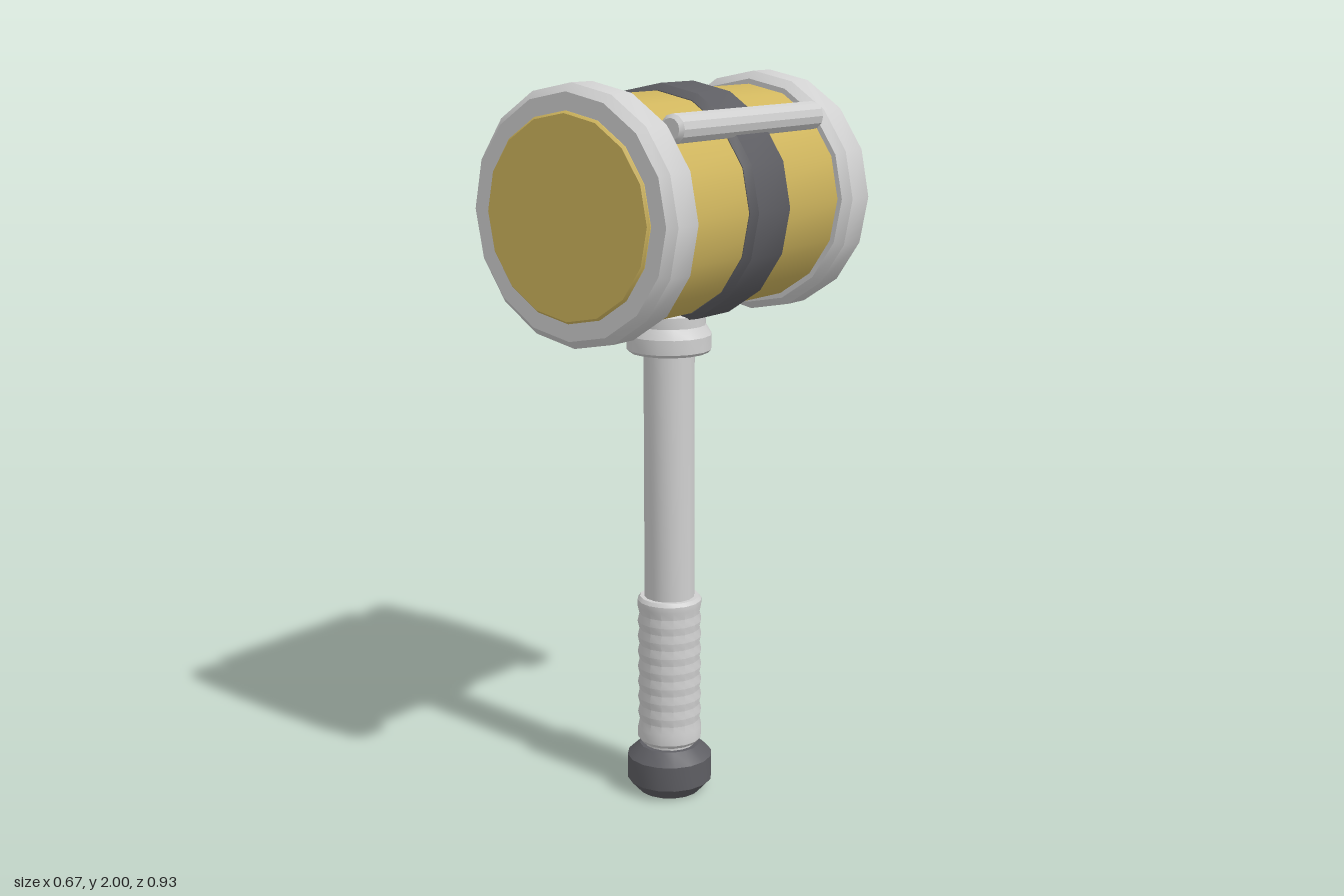
import * as THREE from 'three';
import { toCreasedNormals } from 'three/addons/utils/BufferGeometryUtils.js';

const HEAD_Y = 1.668;   // height of the head's axis
const HANDLE_Z = 0.043; // the handle sits slightly forward of centre

export function createModel() {
  const group = new THREE.Group();
  group.name = 'hammer';

  const material = (name, color) => {
    const m = new THREE.MeshStandardMaterial({ color });
    m.name = name;
    return m;
  };
  const gold = material('gold', 0xd0b65e);
  const steel = material('steel', 0xd0d0d0);
  const dark = material('dark grey', 0x5e5e63);

  // Turned solid from [radius, height] pairs, listed bottom to top
  const turned = (profile, sides = 16) => toCreasedNormals(
    new THREE.LatheGeometry(profile.map(([r, y]) => new THREE.Vector2(r, y)), sides), 0.5);

  // Closed cylinder with chamfered ends, from height a to height b
  const chamfered = (r, a, b, c, sides) => turned(
    [[0, a], [r - c, a], [r, a + c], [r, b - c], [r - c, b], [0, b]], sides);

  const add = (name, geometry, mat, x, y, z) => {
    const mesh = new THREE.Mesh(geometry, mat);
    mesh.name = name;
    mesh.position.set(x, y, z);
    group.add(mesh);
  };
  // Head parts lie along z
  const addHead = (name, geometry, mat, x = 0, y = HEAD_Y) =>
    add(name, geometry.rotateX(Math.PI / 2), mat, x, y, 0);
  const addHandle = (name, geometry, mat) => add(name, geometry, mat, 0, 0, HANDLE_Z);

  // Head: barrel, middle band, end rims and striking faces
  addHead('barrel', turned([[0, -0.4], [0.298, -0.4], [0.298, 0.4], [0, 0.4]]), gold);
  addHead('middleBand', chamfered(0.317, -0.08, 0.094, 0.017), dark);
  addHead('frontRim', chamfered(0.333, 0.333, 0.455, 0.021), steel);
  addHead('backRim', chamfered(0.333, -0.44, -0.318, 0.021), steel);
  addHead('frontFace', chamfered(0.266, 0.42, 0.464, 0.006), gold);
  addHead('backFace', chamfered(0.266, -0.45, -0.41, 0.006), gold);
  addHead('backDisc', chamfered(0.193, -0.466, -0.44, 0.005), gold);

  // Pair of rods along the upper sides of the head
  for (const side of [-1, 1]) {
    addHead(side > 0 ? 'leftRod' : 'rightRod',
      chamfered(0.038, -0.31, 0.322, 0.01, 12), steel, side * 0.221, 1.89);
  }

  // Handle: pommel, neck, shaft and collar
  addHandle('pommel', turned([[0, 0], [0.088, 0], [0.12, 0.035], [0.12, 0.105],
    [0.085, 0.138], [0, 0.138]]), dark);
  addHandle('neck', turned([[0, 0.13], [0.072, 0.13], [0.072, 0.17], [0, 0.17]]), steel);
  addHandle('shaft', turned([[0, 0.55], [0.07, 0.55], [0.07, 1.35], [0, 1.35]]), steel);
  addHandle('collar', turned([[0, 1.27], [0.108, 1.27], [0.116, 1.278], [0.116, 1.318],
    [0.1, 1.345], [0.1, 1.375], [0.085, 1.388], [0, 1.388]]), steel);

  // Rippled grip
  const grip = [[0, 0.148], [0.082, 0.148], [0.09, 0.158], [0.09, 0.19]];
  const ripples = 8, pitch = 0.36 / ripples;
  for (let i = 0; i < ripples; i++) {
    const y = 0.19 + i * pitch;
    grip.push([0.085, y + pitch * 0.5], [0.09, y + pitch]);
  }
  grip.push([0.09, 0.566], [0.083, 0.576], [0, 0.576]);
  addHandle('grip', turned(grip), steel);

  return group;
}
